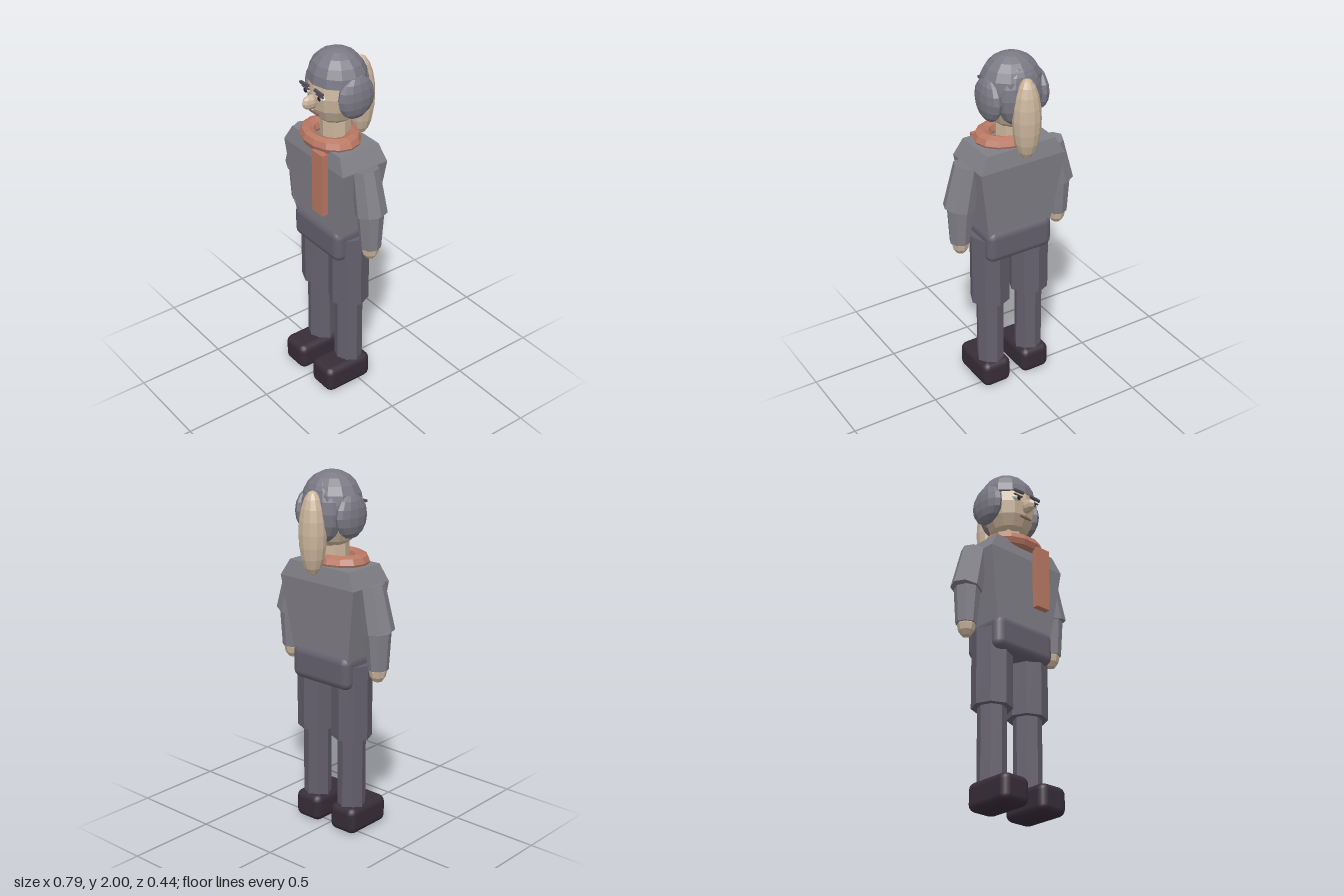
import * as THREE from 'three';
import { RoundedBoxGeometry } from 'three/addons/geometries/RoundedBoxGeometry.js';

const material = (name, color) => {
  const m = new THREE.MeshStandardMaterial({ color });
  m.name = name;
  return m;
};

// Facet a geometry so each polygon reads as a flat plane
function facet(geometry) {
  const g = geometry.index ? geometry.toNonIndexed() : geometry;
  g.computeVertexNormals();
  return g;
}

export function createModel() {
  const skin = material('skin', 0xcbb59c);
  const hair = material('hair', 0x7b7985);
  const jacket = material('jacket', 0x817f87);
  const trousers = material('trousers', 0x645f6d);
  const shoes = material('shoes', 0x372d37);
  const scarf = material('scarf', 0xb97863);
  const brow = material('brow', 0x55515c);
  const white = material('eyeWhite', 0xdedad4);
  const dark = material('pupil', 0x211d22);
  const lip = material('lips', 0x8a6259);

  const group = new THREE.Group();
  group.name = 'figure';

  function add(name, geometry, mat, x = 0, y = 0, z = 0) {
    const mesh = new THREE.Mesh(geometry, mat);
    mesh.name = name;
    mesh.position.set(x, y, z);
    group.add(mesh);
    return mesh;
  }
  const ellipsoid = (rx, ry, rz, w = 12, h = 8) =>
    facet(new THREE.SphereGeometry(1, w, h).scale(rx, ry, rz));

  // Eight-sided tapered limb between two points
  function limb(name, mat, top, bottom, rTop, rBottom) {
    const a = new THREE.Vector3(...top), b = new THREE.Vector3(...bottom);
    const axis = a.clone().sub(b);
    const mid = a.add(b).multiplyScalar(0.5);
    const mesh = add(name, facet(new THREE.CylinderGeometry(rTop, rBottom, axis.length(), 8)), mat, mid.x, mid.y, mid.z);
    mesh.quaternion.setFromUnitVectors(new THREE.Vector3(0, 1, 0), axis.normalize());
  }

  // Torso lofted through rectangles: [y, half width, back z, front z]
  const sections = [
    [1.0, 0.19, -0.09, 0.135],
    [1.42, 0.255, -0.125, 0.16],
    [1.51, 0.205, -0.105, 0.142],
  ];
  const points = [], faces = [];
  for (const [y, w, back, front] of sections) {
    points.push(-w, y, front, w, y, front, w, y, back, -w, y, back);
  }
  for (let s = 0; s < sections.length - 1; s++) {
    for (let i = 0; i < 4; i++) {
      const a = s * 4 + i, b = s * 4 + (i + 1) % 4;
      faces.push(a, b, b + 4, a, b + 4, a + 4);
    }
  }
  const end = points.length / 3 - 4;
  faces.push(0, 2, 1, 0, 3, 2, end, end + 1, end + 2, end, end + 2, end + 3);
  const torso = new THREE.BufferGeometry();
  torso.setAttribute('position', new THREE.Float32BufferAttribute(points, 3));
  torso.setIndex(faces);
  add('torso', facet(torso), jacket);

  // Hips
  add('hips', new RoundedBoxGeometry(0.4, 0.19, 0.265, 2, 0.045), trousers, 0, 0.945, 0.022);

  // Neck and scarf
  add('neck', facet(new THREE.CylinderGeometry(0.08, 0.08, 0.15, 8)), skin, 0, 1.56, 0.015);
  const ring = new THREE.TorusGeometry(0.135, 0.05, 8, 14).rotateX(Math.PI / 2).scale(1, 0.86, 0.79);
  add('scarfRing', facet(ring), scarf, 0, 1.521, 0.047);
  add('scarfTail', new THREE.BoxGeometry(0.09, 0.36, 0.036), scarf, 0.085, 1.32, 0.178);

  // Head, hair and ponytail
  add('head', ellipsoid(0.14, 0.192, 0.15), skin, 0, 1.775, 0.012);
  const cap = new THREE.SphereGeometry(1, 12, 5, 0, Math.PI * 2, 0, Math.PI / 2).scale(0.165, 0.16, 0.153);
  add('hairCap', facet(cap), hair, 0, 1.84, 0.002);
  const rim = new THREE.CircleGeometry(1, 12).rotateX(Math.PI / 2).scale(0.165, 1, 0.153);
  add('hairCapUnderside', rim, hair, 0, 1.84, 0.002);
  add('backHair', ellipsoid(0.132, 0.165, 0.075), hair, 0, 1.795, -0.08);
  add('ponytail', ellipsoid(0.076, 0.224, 0.073, 12, 10), skin, 0, 1.69, -0.15);

  // Face
  add('nose', ellipsoid(0.027, 0.04, 0.055, 8, 6), skin, 0, 1.748, 0.167);
  add('mouth', new THREE.BoxGeometry(0.075, 0.009, 0.009), lip, 0, 1.683, 0.15);

  for (const side of [-1, 1]) {
    const name = (part) => (side > 0 ? 'left' : 'right') + part;

    // Eye, brow and side hair
    add(name('Eye'), ellipsoid(0.032, 0.016, 0.014, 10, 6), white, side * 0.06, 1.787, 0.146);
    add(name('Pupil'), ellipsoid(0.013, 0.014, 0.008, 8, 6), dark, side * 0.058, 1.787, 0.158);
    add(name('EyeLid'), new THREE.BoxGeometry(0.06, 0.006, 0.009), brow, side * 0.06, 1.801, 0.156);
    add(name('Eyebrow'), new THREE.BoxGeometry(0.07, 0.013, 0.013), brow, side * 0.06, 1.823, 0.163)
      .rotation.z = -side * 0.06;
    add(name('SideHair'), ellipsoid(0.05, 0.118, 0.11, 12, 8), hair, side * 0.14, 1.778, -0.01);

    // Arm and hand
    limb(name('UpperArm'), jacket, [side * 0.255, 1.425, 0.018], [side * 0.309, 1.185, 0.018], 0.073, 0.086);
    limb(name('Forearm'), jacket, [side * 0.302, 1.185, 0.018], [side * 0.307, 0.98, 0.018], 0.072, 0.056);
    add(name('Hand'), ellipsoid(0.049, 0.07, 0.049, 8, 6), skin, side * 0.305, 0.975, 0.018);

    // Leg and shoe
    limb(name('Thigh'), trousers, [side * 0.125, 0.98, 0.02], [side * 0.125, 0.555, 0.02], 0.11, 0.11);
    limb(name('Shin'), trousers, [side * 0.125, 0.57, 0.02], [side * 0.125, 0.13, 0.02], 0.077, 0.077);
    add(name('Shoe'), new RoundedBoxGeometry(0.176, 0.156, 0.295, 2, 0.04), shoes, side * 0.127, 0.078, 0.073);
  }

  return group;
}
